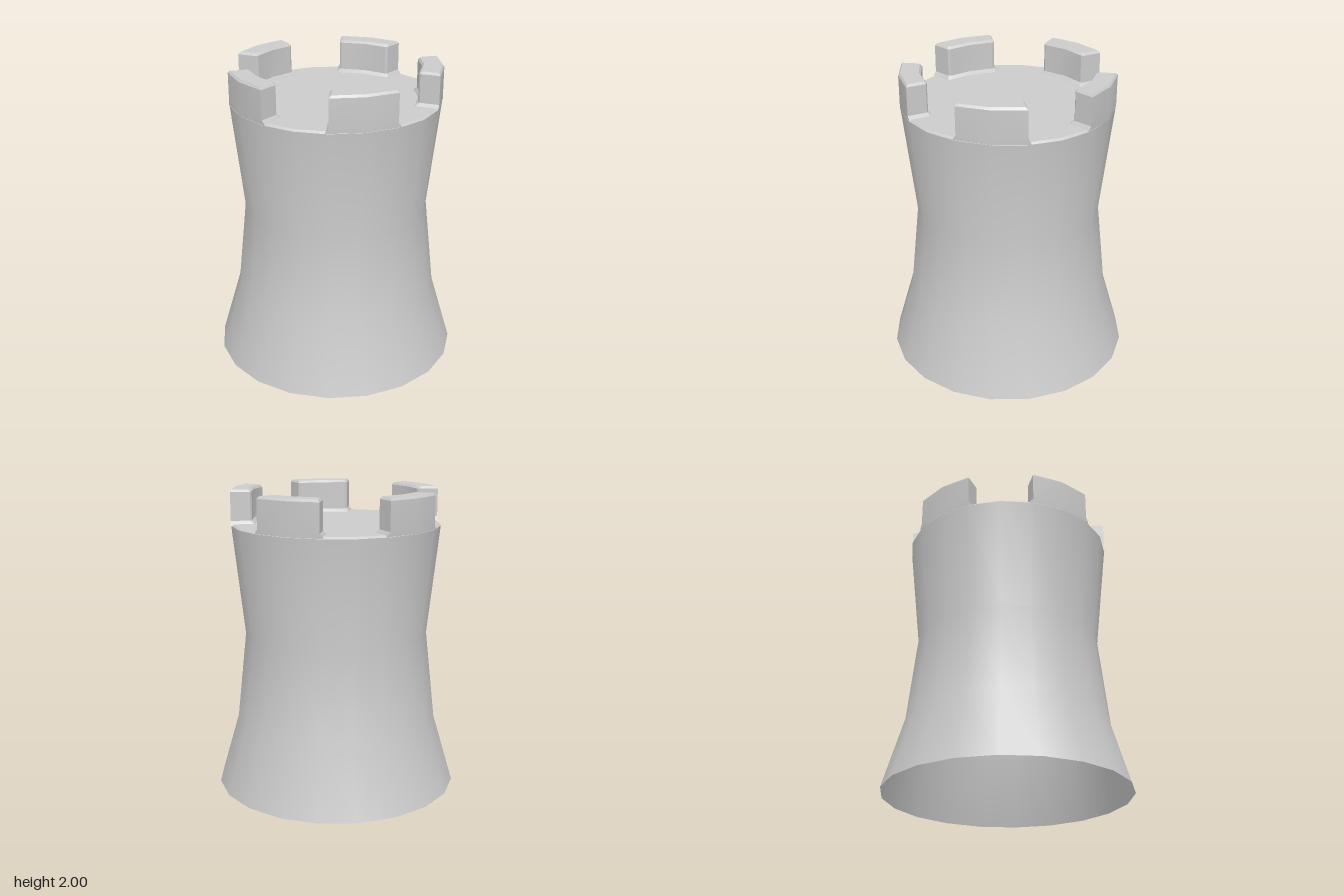
import * as THREE from 'three';
import { toCreasedNormals } from 'three/addons/utils/BufferGeometryUtils.js';

const SIDES = 20;
const STEP = (Math.PI * 2) / SIDES;
const R_OUT = 0.69, R_IN = 0.55, CHAMFER = 0.012;
const CREASE = 0.5;

const material = new THREE.MeshStandardMaterial({ color: 0xcccccc, side: THREE.DoubleSide });

// Outline of a battlement (two wall segments wide), shrunk by d; negative d flares the foot.
function outline(d, y) {
  const ro = R_OUT - Math.max(d, 0), ri = R_IN + d, c = CHAMFER;
  const side = STEP - d / ro, shoulder = STEP - d / ri, corner = STEP - (d + c) / ri;
  return [
    [ro, -side], [ro, 0], [ro, side],
    [ri + c, shoulder], [ri, corner], [ri, 0], [ri, -corner], [ri + c, -shoulder],
  ].map(([r, a]) => [r * Math.cos(a), y, r * Math.sin(a)]);
}

// Loft the outline through a filleted foot, straight walls and a bevelled top.
function battlementGeometry() {
  const layers = [[-0.022, 1.77], [-0.016, 1.782], [0, 1.8], [0, 1.985], [0.012, 2]];
  const n = 8, innerMid = 5;
  const points = layers.flatMap(([d, y]) => outline(d, y));
  const index = [];
  for (let k = 0; k < layers.length - 1; k++) {
    for (let i = 0; i < n; i++) {
      const a = k * n + i, b = k * n + ((i + 1) % n);
      index.push(a, a + n, b, b, a + n, b + n);
    }
  }
  // Top face, fanned from the middle of the inner edge
  const top = (layers.length - 1) * n;
  for (let s = 1; s < n - 1; s++) {
    index.push(top + innerMid, top + ((innerMid + s + 1) % n), top + ((innerMid + s) % n));
  }
  const geometry = new THREE.BufferGeometry();
  geometry.setAttribute('position', new THREE.Float32BufferAttribute(points.flat(), 3));
  geometry.setIndex(index);
  return toCreasedNormals(geometry, CREASE);
}

export function createModel() {
  const tower = new THREE.Group();
  tower.name = 'tower';

  // Waisted wall, open below, closed by the floor at the top
  const profile = [
    [0.81, 0], [0.675, 0.46], [0.61, 1.05], [0.688, 1.768], [0.674, 1.78], [0, 1.78],
  ].map(([x, y]) => new THREE.Vector2(x, y));
  const wall = new THREE.Mesh(
    toCreasedNormals(new THREE.LatheGeometry(profile, SIDES), CREASE), material);
  wall.name = 'wallAndFloor';
  tower.add(wall);

  // Five battlements around the rim
  const geometry = battlementGeometry();
  for (let i = 0; i < 5; i++) {
    const battlement = new THREE.Mesh(geometry, material);
    battlement.name = `battlement${i + 1}`;
    battlement.rotation.y = -(2 + 4 * i) * STEP;
    tower.add(battlement);
  }
  return tower;
}
